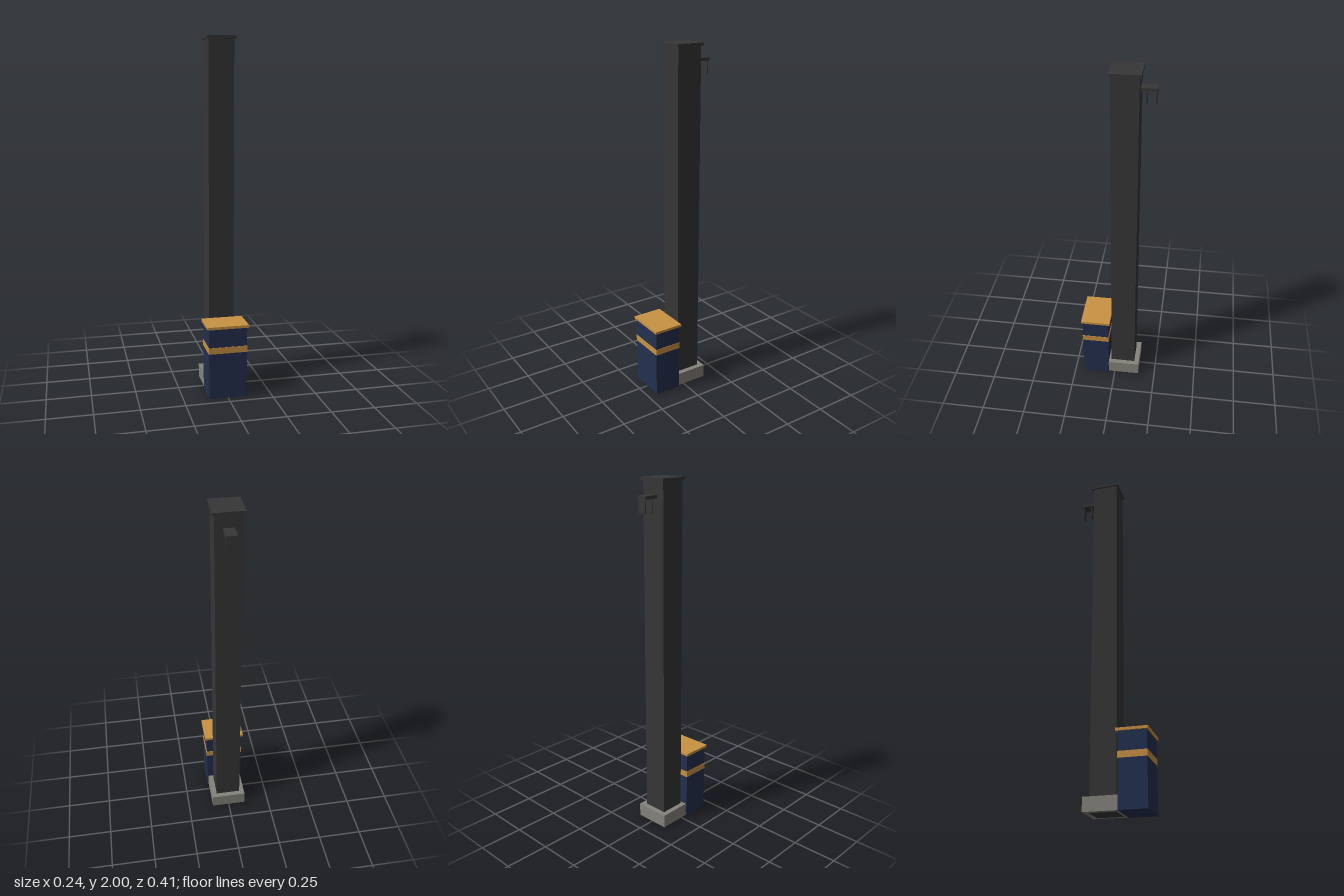
import * as THREE from 'three';

const material = (name, color) => {
  const m = new THREE.MeshStandardMaterial({ color });
  m.name = name;
  return m;
};

export function createModel() {
  const model = new THREE.Group();
  model.name = 'postWithCabinet';
  const charcoal = material('charcoal', 0x363636);
  const navy = material('navy', 0x232f4f);
  const ochre = material('ochre', 0xc99243);
  const concrete = material('concrete', 0x85847c);

  // Box given by its width (centred on x), y range and z range
  const block = (name, mat, width, y0, y1, z0, z1) => {
    const mesh = new THREE.Mesh(new THREE.BoxGeometry(width, y1 - y0, z1 - z0), mat);
    mesh.position.set(0, (y0 + y1) / 2, (z0 + z1) / 2);
    mesh.name = name;
    model.add(mesh);
  };

  // Post on its footing; the post runs through to the ground
  block('footing', concrete, 0.202, 0.001, 0.078, -0.149, 0.052);
  block('post', charcoal, 0.144, 0, 1.986, -0.12, 0.024);
  block('postCap', charcoal, 0.163, 1.984, 2, -0.13, 0.033);

  // Cabinet in front of the post
  block('cabinet', navy, 0.216, 0, 0.406, 0.039, 0.196);
  block('cabinetBand', ochre, 0.22, 0.262, 0.298, 0.037, 0.198);
  block('cabinetLid', ochre, 0.237, 0.404, 0.419, 0.03, 0.204);

  // Rear bracket with two hanging plates
  block('bracketArm', charcoal, 0.058, 1.897, 1.914, -0.205, -0.115);
  for (const z of [-0.2, -0.15]) {
    block('bracketPlate', charcoal, 0.046, 1.824, 1.9, z - 0.003, z + 0.003);
  }
  return model;
}
